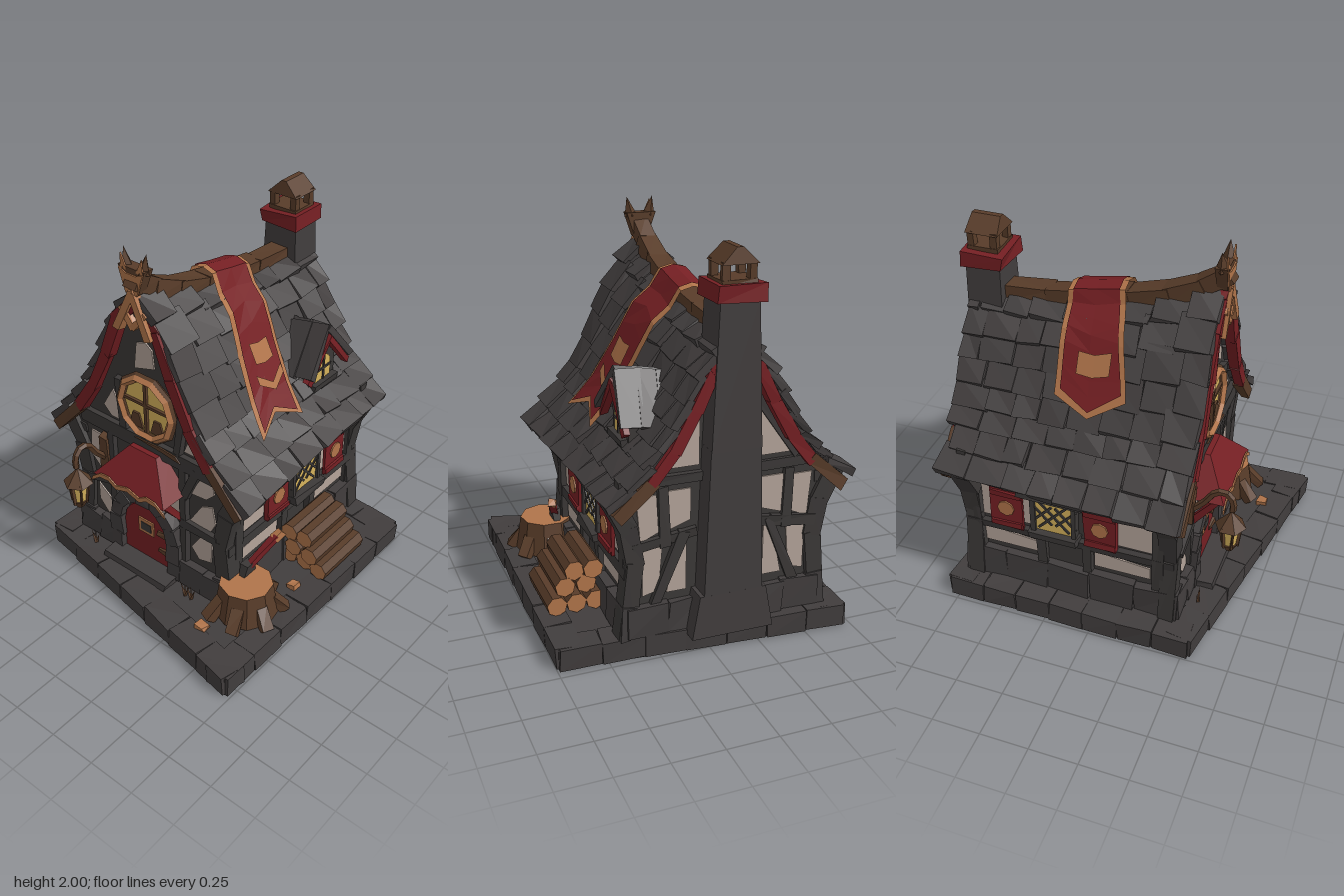
import * as THREE from 'three';
import { mergeGeometries } from 'three/addons/utils/BufferGeometryUtils.js';
const mat = (name, color, side = THREE.FrontSide) => Object.assign(new THREE.MeshStandardMaterial({ color, flatShading: true, side }), { name });
const M = {
  stone: mat('slate stone', 0x413d3d, THREE.DoubleSide), timber: mat('dark timber', 0x3b3837), plaster: mat('plaster', 0xb3a399),
  red: mat('red paint', 0x751f23, THREE.DoubleSide), copper: mat('copper', 0xb0744a, THREE.DoubleSide),
  brown: mat('brown wood', 0x583c29), glass: mat('warm glass', 0xd6b25c),
};
let seed = 7;
const rnd = () => (seed = (seed * 16807) % 2147483647) / 2147483647, jit = a => (rnd() - 0.5) * 2 * a;
const V = (x, y, z) => new THREE.Vector3(x, y, z), SIDES = [1, -1];
const CX = -0.09, FRONT = 0.4, BACK = -0.7;   // house axis, wall planes
function add(parent, name, geo, material, x = 0, y = 0, z = 0, roll = 0) {
  const m = new THREE.Mesh(geo, material);
  m.name = name; m.position.set(x, y, z); m.rotation.z = roll; parent.add(m);
  return m;
}
function warp(g, rule) {
  const p = g.attributes.position, v = V(0, 0, 0);
  for (let i = 0; i < p.count; i++) { rule(v.fromBufferAttribute(p, i)); p.setXYZ(i, v.x, v.y, v.z); }
  return g;
}
// box with slightly displaced corners
function rough(w, h, d, j = 0.008) {
  const off = Array.from({ length: 8 }, () => V(jit(j), jit(j), jit(j)));
  return warp(new THREE.BoxGeometry(w, h, d), v => v.add(off[(v.x > 0) + 2 * (v.y > 0) + 4 * (v.z > 0)]));
}
// tapered box standing on y = 0
const frustum = (w0, d0, w1, d1, h) => warp(new THREE.BoxGeometry(1, h, 1), v => v.y > 0 ? v.set(v.x * w1, h, v.z * d1) : v.set(v.x * w0, 0, v.z * d0));
// bar between two points in the parent's frame
function beam(parent, name, a, b, w, h, material) {
  const m = add(parent, name, rough(w, h, a.distanceTo(b) + 0.02, 0.005), material);
  m.position.copy(a).add(b).multiplyScalar(0.5);
  m.quaternion.setFromRotationMatrix(new THREE.Matrix4().lookAt(b, a, V(0, 1, 0)));
}
const plate = (pts, depth = 0.008) => new THREE.ExtrudeGeometry(new THREE.Shape(pts.map(p => new THREE.Vector2(...p))), { depth, bevelEnabled: false });
const rect = (x0, y0, x1, y1) => [[x0, y0], [x1, y0], [x1, y1], [x0, y1]];
const arch = (cx, y0, y1, r) => [[cx - r, y0], [cx + r, y0], ...Array.from({ length: 9 }, (_, i) => [cx + r * Math.cos(i * Math.PI / 8), y1 + r * Math.sin(i * Math.PI / 8)])];
// concave roof section: t = 0 ridge, t = 1 eave
const ridgeY = z => 1.56 + 0.24 * Math.pow(Math.max(0, (z + 0.8) / 1.28), 2.2);
const D = [0, 0.15, 0.24, 0.35, 0.46, 0.64], F = [1, 0.84, 0.61, 0.37, 0.2, 0];
function roofPoint(s, t, z, lift = 0) {
  const at = (a, q) => { const k = Math.min(4, Math.floor(q * 5)); return a[k] + (a[k + 1] - a[k]) * (q * 5 - k); };
  const h = ridgeY(z) - 0.81, w = 0.97 + 0.06 * z, q0 = Math.max(0, t - 0.04), q1 = Math.min(1, t + 0.04);
  const n = V(-h * (at(F, q1) - at(F, q0)), at(D, q1) - at(D, q0), 0).normalize();
  return V(CX + s * (at(D, t) * w + n.x * lift), 0.81 + h * at(F, t) + n.y * lift, z);
}
// grid surface from rows of points
function skin(rows) {
  const n = rows[0].length, idx = [], g = new THREE.BufferGeometry().setFromPoints(rows.flat());
  for (let a = 0; a < n * (rows.length - 1); a++) if (a % n < n - 1) idx.push(a, a + n, a + 1, a + 1, a + n, a + n + 1);
  g.setIndex(idx); g.computeVertexNormals();
  return g;
}
function buildBase(g) {
  const c = [[-0.73, 0.53], [0.72, 0.81], [0.74, -0.69], [-0.71, -0.79]];
  add(g, 'baseSlab', plate(c.map(([x, z]) => [x, -z]), 0.11).rotateX(-Math.PI / 2), M.stone);
  c.forEach(([x0, z0], k) => {
    const [x1, z1] = c[(k + 1) % 4], dx = x1 - x0, dz = z1 - z0, len = Math.hypot(dx, dz);
    for (let t = 1 / 14; t < 1; t += 1 / 7)
      add(g, 'baseStone', rough(len / 7 - 0.004, 0.112, 0.14, 0.005), M.stone, x0 + dx * t + dz / len * 0.055, 0.061, z0 + dz * t - dx / len * 0.055).rotation.y = Math.atan2(-dz, dx);
  });
}
function buildWalls(g) {
  const body = [[-0.48, 0.1], [0.48, 0.1], [0.48, 0.72], [0.55, 0.86], [-0.55, 0.86], [-0.48, 0.72]];
  add(g, 'wallBody', plate(body, FRONT - BACK), M.timber, CX, 0, BACK);
  for (const z of [FRONT - 0.06, BACK]) {
    const half = [0.95, 0.8, 0.6, 0.4, 0.2].map(t => roofPoint(1, t, z, -0.02)).map(p => [p.x, p.y]);
    add(g, 'gableWall', plate([...half, [CX, ridgeY(z) - 0.03], ...half.map(([x, y]) => [2 * CX - x, y]).reverse()], 0.06), M.timber, 0, 0, z);
  }
  // stone footing
  for (let i = 0; i < 5; i++) {
    for (const s of SIDES) add(g, 'footingStone', rough(0.1, 0.17, 0.232, 0.01), M.stone, CX + s * 0.48, 0.2, 0.32 - i * 0.235);
    add(g, 'footingStone', rough(0.2, 0.16, 0.08, 0.01), M.stone, CX - 0.4 + i * 0.2, 0.2, BACK);
  }
  for (const x of [-0.53, -0.38, 0.2, 0.34]) add(g, 'footingStone', rough(0.16, 0.15, 0.08, 0.01), M.stone, x, 0.19, FRONT + 0.005);
  // bowed corner posts
  for (const s of SIDES) for (const z of [FRONT - 0.02, BACK + 0.02]) {
    const p = [[0.5, 0.12], [0.46, 0.5], [0.49, 0.68], [0.58, 0.86]].map(([x, y]) => V(CX + s * x, y, z));
    for (let i = 0; i < 3; i++) beam(g, 'cornerPost', p[i], p[i + 1], 0.09, 0.09, M.timber);
  }
  // plaster fields and framing, front
  [
    [[-0.18, 1.32], [-0.05, 1.36], [-0.06, 1.46], [-0.1, 1.49], [-0.16, 1.47]], [[0.02, 1.32], [0.13, 1.24], [0.13, 1.31], [0.05, 1.39]],
    [[-0.41, 1.01], [-0.36, 0.96], [-0.26, 0.96], [-0.3, 1.05], [-0.34, 1.13]], [[0.13, 0.96], [0.26, 0.96], [0.31, 0.99], [0.22, 1.1], [0.18, 1.08]],
    [[-0.53, 0.64], [-0.47, 0.58], [-0.4, 0.7], [-0.41, 0.8], [-0.52, 0.8]], [[-0.49, 0.35], [-0.43, 0.28], [-0.36, 0.29], [-0.41, 0.4], [-0.49, 0.46]],
    [[-0.32, 0.54], [0.1, 0.54], [0.1, 0.66], [-0.32, 0.66]], [[0.17, 0.72], [0.27, 0.73], [0.32, 0.78], [0.31, 0.88], [0.26, 0.89]],
    [[0.16, 0.54], [0.3, 0.54], [0.33, 0.6], [0.31, 0.7], [0.24, 0.67]], [[0.17, 0.37], [0.22, 0.31], [0.3, 0.33], [0.31, 0.49], [0.24, 0.48]],
  ].forEach(p => add(g, 'plasterFront', plate(p), M.plaster, 0, 0, FRONT));
  [[-0.55, 0.9, 0.38, 0.9], [-0.53, 0.5, -0.36, 0.55], [0.13, 0.15, 0.13, 0.86], [0.13, 0.52, 0.34, 0.51], [0.14, 0.7, 0.22, 0.88], [-0.36, 0.3, -0.36, 0.86], [-0.26, 0.94, -0.28, 1.22], [0.1, 0.94, 0.14, 1.2]]
    .forEach(([a, b, c, d], i) => beam(g, 'frontTimber', V(a, b, FRONT + 0.01), V(c, d, FRONT + 0.01), 0.045, i ? 0.045 : 0.085, M.timber));
  add(g, 'bareWood', plate([[-0.17, 0.93], [0.02, 0.915], [0.13, 0.9], [0.1, 0.93], [0, 0.94]]), M.brown, 0, 0, FRONT + 0.033);
  // plaster fields and framing, back, mirrored about the chimney
  for (const s of SIDES) {
    [
      [[0.2, 0.32], [0.3, 0.32], [0.24, 0.6], [0.2, 0.62]], [[0.34, 0.34], [0.42, 0.32], [0.42, 0.55], [0.32, 0.58]], [[0.18, 0.68], [0.3, 0.64], [0.3, 0.84], [0.18, 0.84]],
      [[0.34, 0.64], [0.43, 0.6], [0.45, 0.83], [0.35, 0.83]], [[0.14, 0.95], [0.34, 0.95], [0.24, 1.12], [0.14, 1.22]],
    ].forEach(p => add(g, 'plasterBack', plate(p.map(([x, y]) => [CX + s * x, y])), M.plaster, 0, 0, BACK - 0.008));
    for (const [a, b, c, d] of [[0.1, 0.9, 0.53, 0.9], [0.16, 0.62, 0.46, 0.58], [0.22, 0.62, 0.36, 0.28], [0.32, 0.86, 0.31, 0.58], [0.12, 1.28, 0.36, 0.95]])
      beam(g, 'backTimber', V(CX + s * a, b, BACK), V(CX + s * c, d, BACK), 0.05, 0.05, M.timber);
  }
}
// one long wall; s picks the side, A maps world z to the local axis
function buildSide(g, s) {
  const A = z => -s * z, c = A(-0.225);
  g.rotation.y = s * Math.PI / 2; g.position.x = CX + s * 0.48;
  for (const [z0, y0, z1, y1] of [[0.3, 0.5, 0.1, 0.68], [-0.36, 0.5, -0.63, 0.77], [0.28, 0.32, -0.02, 0.42], [-0.33, 0.32, -0.63, 0.42]])
    add(g, 'plasterSide', plate([[A(z0), y0], [A(z1), y0], [A(z1), y1], [A(z0), y1 - 0.03]]), M.plaster);
  for (const [z0, y0, z1, y1, t] of [[0.4, 0.46, -0.7, 0.45, 0.05], [0.4, 0.79, -0.7, 0.8, 0.05], [0.33, 0.28, 0.33, 0.8, 0.06], [-0.05, 0.28, -0.05, 0.45, 0.05], [-0.3, 0.28, -0.3, 0.45, 0.05], [-0.65, 0.28, -0.66, 0.8, 0.05]])
    beam(g, 'sideTimber', V(A(z0), y0, 0.008), V(A(z1), y1, 0.008), t, t, M.timber);
  // lattice window between shutters with a plain disc
  add(g, 'windowGlass', rough(0.2, 0.22, 0.04, 0), M.glass, c, 0.61, 0.01);
  for (const k of SIDES) {
    const sx = c + k * 0.253;
    add(g, 'windowJamb', rough(0.025, 0.25, 0.05, 0.003), M.timber, c + k * 0.11, 0.61, 0.02);
    for (let i = -1; i <= 1; i++) add(g, 'lattice', rough(0.012, 0.24 - 0.08 * Math.abs(i), 0.01, 0), M.timber, c + i * 0.065, 0.61, 0.032, k * 0.75);
    add(g, 'shutter', rough(0.175, 0.24, 0.025, 0.006), M.red, sx, 0.605, 0.035);
    for (const y of [0.51, 0.7]) add(g, 'shutterBatten', rough(0.17, 0.03, 0.02, 0.004), M.red, sx, y, 0.045);
    add(g, 'shutterDisc', new THREE.CylinderGeometry(0.046, 0.046, 0.008, 8).rotateX(Math.PI / 2), M.copper, sx, 0.61, 0.051);
  }
  add(g, 'lintel', rough(0.35, 0.06, 0.1), M.timber, c, 0.765, 0.03); add(g, 'sill', rough(0.26, 0.04, 0.08), M.timber, c, 0.485, 0.03);
}
function buildRoof(g) {
  for (const s of SIDES) {
    add(g, 'roofDeck', skin([0.45, 0.25, 0.05, -0.2, -0.5, -0.79].map(z => [0, 0.2, 0.4, 0.6, 0.8, 1].map(t => roofPoint(s, t, z)))), M.stone);
    const tiles = [];
    for (let r = 0; r < 8; r++) for (let z = 0.475 + jit(0.01), w; z > -0.76; z -= w) {
      w = Math.min(0.12 + rnd() * 0.08, z + 0.81);
      const a = roofPoint(s, r / 8, z - w / 2, 0.006), b = roofPoint(s, Math.min(1, (r + 1.12) / 8), z - w / 2, 0.03 + jit(0.008));
      const X = b.clone().sub(a), len = X.length() + 0.015, Z = V(0, 0, s), Y = Z.clone().cross(X.normalize());
      tiles.push(rough(len, 0.036, w - 0.004, 0.009).applyMatrix4(new THREE.Matrix4().makeBasis(X, Y, Z).setPosition(a.add(b).multiplyScalar(0.5))));
    }
    add(g, 'roofTiles', mergeGeometries(tiles), M.stone);
    // rake boards, brown at the eaves
    for (const z of [0.46, -0.78]) for (let i = 0; i < 5; i++)
      beam(g, 'rakeBoard', roofPoint(s, i / 5, z, -0.035), roofPoint(s, (i + 1) / 5, z, -0.035), 0.05, 0.06, i < 4 ? M.red : M.brown);
    // banner halves: copper border below, red cloth above; notched on one side, pointed on the other
    const [tip, mid, df, db] = s > 0 ? [0.82, 0.72, 0.15, 0.1] : [0.49, 0.58, 0.1, 0.02];
    for (const [inset, lift, m] of [[0, 0.062, M.copper], [0.028, 0.07, M.red]])
      add(g, 'banner', skin([0, 0.03, 0.125, 0.25, 0.375, 0.5, 0.625, 0.75, 0.875, 1].map((k, i) => {
        const zf = df * k - inset, zb = -0.29 + db * k + inset;
        return [zf, (zf + zb) / 2, zb].map((z, j) => i > 1 ? roofPoint(s, k * (j === 1 ? mid : tip) - k * inset * 1.1, z, lift) : V(CX + s * i * 0.065, ridgeY(z) + 0.028 + lift - i * 0.018, z));
      })), m);
    const patch = (t0, t1, half, dip) => add(g, 'bannerPatch', skin([t0, t1].map(t => [-1, 0, 1].map(k => roofPoint(s, t + (k ? 0 : dip), -0.085 + k * half, 0.078)))), M.copper);
    if (s > 0) { patch(0.35, 0.455, 0.07, 0.01); patch(0.5, 0.545, 0.1, 0.06); } else patch(0.27, 0.38, 0.085, 0.015);
  }
  // sagging ridge beam
  const rp = [0.48, 0.36, 0.2, 0, -0.2, -0.4, -0.64].map((z, i) => V(CX, ridgeY(z) + [0.06, 0.03][i] || V(CX, 0.01).y + ridgeY(z), z));
  for (let i = 0; i < 6; i++) beam(g, 'ridgeBeam', rp[i], rp[i + 1], 0.08 + 0.03 * Math.min(1, i / 2), 0.085, M.brown);
  // eared finial and gable ornament
  add(g, 'finialHead', frustum(0.07, 0.05, 0.16, 0.06, 0.13), M.brown, CX, 1.79, 0.46);
  add(g, 'finialFace', plate([[-0.035, 0], [0.035, 0], [0.075, 0.12], [0.03, 0.1], [-0.03, 0.1], [-0.075, 0.12]]), M.copper, CX, 1.79, 0.488);
  for (const s of SIDES) {
    add(g, 'finialEar', new THREE.ConeGeometry(0.035, 0.1, 4), M.brown, CX + s * 0.06, 1.95, 0.46, -s * 0.2);
    add(g, 'finialEarFace', plate([[-0.02, -0.05], [0.02, -0.05], [0, 0.03]]), M.copper, CX + s * 0.058, 1.95, 0.482, -s * 0.2);
    beam(g, 'gableOrnament', V(CX, 1.8, 0.487), V(CX + s * 0.095, 1.59, 0.487), 0.04, 0.035, M.copper);
    beam(g, 'gableOrnament', V(CX, 1.62, 0.487), V(CX + s * 0.07, 1.7, 0.487), 0.03, 0.03, M.copper);
  }
}
function buildDormer(g) {
  g.position.set(0.34, 0, -0.445); g.rotation.y = Math.PI / 2;
  add(g, 'dormerBody', plate([[-0.11, 1], [0.11, 1], [0.11, 1.16], [0, 1.29], [-0.11, 1.16]], 0.28), M.timber, 0, 0, -0.28);
  add(g, 'dormerGlass', plate(arch(0, 1.05, 1.13, 0.065)), M.glass);
  for (const [w, h] of [[0.012, 0.14], [0.13, 0.012]]) add(g, 'dormerMullion', rough(w, h, 0.014, 0), M.timber, 0, 1.12, 0.008);
  add(g, 'dormerSill', rough(0.2, 0.035, 0.05, 0.004), M.timber, 0, 1.035, 0.01);
  for (const s of SIDES) {
    for (const z of [0, -0.1, -0.2]) add(g, 'dormerTile', rough(0.29, 0.035, 0.118, 0.009), M.stone, s * 0.09, 1.25 + 0.2 * z, z - 0.008, -s * 0.92).rotation.x = -0.15;
    beam(g, 'dormerTrim', V(0, 1.31, 0.03), V(s * 0.165, 1.11, 0.03), 0.035, 0.035, M.red);
  }
}
function buildChimney(g) {
  const z = -0.72;
  [['Foot', 0.42, 0.2, 0.34, 0.22, 0.1], ['Breast', 0.3, 0.19, 0.25, 0.75, 0.3], ['Stack', 0.25, 0.19, 0.19, 0.7, 1.04]]
    .forEach(([n, w0, d, w1, h, y]) => add(g, 'chimney' + n, frustum(w0, d, w1, d - 0.01, h), M.stone, CX, y, z));
  add(g, 'chimneyCollar', rough(0.235, 0.075, 0.22, 0.012), M.red, CX, 1.765, z);
  for (const x of SIDES) for (const k of SIDES) add(g, 'capPost', rough(0.035, 0.1, 0.035, 0.003), M.brown, CX + x * 0.065, 1.85, z + k * 0.06);
  add(g, 'capFoot', rough(0.17, 0.025, 0.16, 0.003), M.brown, CX, 1.81, z); add(g, 'capRoof', frustum(0.18, 0.17, 0.03, 0.15, 0.075), M.brown, CX, 1.89, z);
}
function buildFront(g) {
  // round gable window
  const wy = 1.13, dx = -0.12, ax = -0.1, lx = -0.4, lz = 0.635;
  add(g, 'roundGlass', new THREE.CylinderGeometry(0.16, 0.16, 0.03, 10).rotateX(Math.PI / 2), M.glass, CX, wy, FRONT + 0.01);
  add(g, 'roundFrame', new THREE.TorusGeometry(0.175, 0.026, 4, 10), M.brown, CX, wy, FRONT + 0.025);
  add(g, 'roundFrameFace', new THREE.TorusGeometry(0.168, 0.02, 4, 10), M.copper, CX, wy, FRONT + 0.04);
  for (const [w, h, y] of [[0.018, 0.3, 0], [0.3, 0.016, 0.02]]) add(g, 'windowMullion', rough(w, h, 0.02, 0), M.brown, CX, wy + y, FRONT + 0.03);
  for (const x of [-0.07, 0.07]) add(g, 'sillPot', frustum(0.09, 0.01, 0.04, 0.01, 0.08), M.brown, CX + x, wy - 0.13, FRONT + 0.03);
  // arched door
  add(g, 'door', plate(arch(dx, 0.14, 0.34, 0.16), 0.03), M.red, 0, 0, FRONT);
  for (let a = Math.PI / 14; a < Math.PI; a += Math.PI / 7)
    add(g, 'archStone', rough(0.075, 0.098, 0.1, 0.006), M.stone, dx + 0.195 * Math.cos(a), 0.36 + 0.195 * Math.sin(a), FRONT + 0.01, a);
  for (const s of SIDES) for (const y of [0.18, 0.3]) add(g, 'doorJamb', rough(0.08, 0.125, 0.1), M.stone, dx + s * 0.2, y, FRONT + 0.01);
  add(g, 'doorStep', rough(0.44, 0.06, 0.16), M.stone, dx, 0.125, 0.47);
  add(g, 'doorPlaque', plate(rect(dx - 0.055, 0.315, dx + 0.05, 0.405)), M.copper, 0, 0, FRONT + 0.03);
  add(g, 'doorPlaqueCentre', plate(rect(dx - 0.035, 0.335, dx + 0.035, 0.385)), M.timber, 0, 0, FRONT + 0.034);
  for (const y of [0.25, 0.37]) add(g, 'doorHinge', rough(0.08, 0.03, 0.02, 0.007), M.brown, dx + 0.12, y, FRONT + 0.035);
  // awning with a wavy hem
  add(g, 'awning', frustum(0.48, 0.34, 0.18, 0.1, 0.18), M.red, ax, 0.7, 0.41);
  const wave = [[-0.25, 0.655], [-0.19, 0.7], [-0.13, 0.705], [-0.08, 0.675], [0, 0.7], [0.08, 0.675], [0.13, 0.705], [0.19, 0.7], [0.25, 0.655]];
  add(g, 'awningHem', plate([...wave, ...wave.map(([x, y]) => [x * 0.98, y + 0.026]).reverse()]), M.copper, ax, 0, 0.578);
  for (const s of SIDES) beam(g, 'awningBrace', V(ax + s * 0.2, 0.53, 0.41), V(ax + s * 0.2, 0.69, 0.54), 0.035, 0.035, M.red);
  // hanging lantern
  const path = [[0.68, 0.42], [0.76, 0.5], [0.83, 0.55], [0.845, 0.6], [0.8, 0.64], [0.74, 0.64]].map(([y, z]) => V(lx, y, z));
  add(g, 'lanternBracket', new THREE.TubeGeometry(new THREE.CatmullRomCurve3(path), 10, 0.018, 5), M.brown);
  add(g, 'lanternPlate', rough(0.06, 0.2, 0.04), M.brown, lx, 0.72, 0.425);
  [['Glass', 0.05, 0.035, 0.12, 0.59, M.glass], ['Roof', 0, 0.08, 0.09, 0.69, M.brown], ['Foot', 0.045, 0.02, 0.045, 0.51, M.brown]]
    .forEach(([n, r1, r0, h, y, m]) => add(g, 'lantern' + n, new THREE.CylinderGeometry(r1, r0, h, 6), m, lx, y, lz));
  for (let a = 0; a < 6; a += Math.PI / 3)
    beam(g, 'lanternRib', V(lx + Math.sin(a) * 0.038, 0.53, lz + Math.cos(a) * 0.038), V(lx + Math.sin(a) * 0.053, 0.65, lz + Math.cos(a) * 0.053), 0.013, 0.013, M.brown);
}
function buildYard(g) {
  // chopping stump with roots and axe
  const sx = 0.5, sz = 0.37;
  add(g, 'stump', new THREE.CylinderGeometry(0.14, 0.17, 0.18, 9), [M.brown, M.copper, M.brown], sx, 0.21, sz);
  for (let a = 0.3; a < 6.2; a += Math.PI * 2 / 7)
    beam(g, 'root', V(sx + Math.cos(a) * 0.13, 0.21, sz + Math.sin(a) * 0.13), V(sx + Math.cos(a) * 0.19, 0.13, sz + Math.sin(a) * 0.21), 0.06, 0.05, M.brown);
  beam(g, 'axeHandle', V(0.47, 0.35, 0.3), V(0.52, 0.46, 0.16), 0.035, 0.035, M.red);
  beam(g, 'axeHandleEnd', V(0.52, 0.46, 0.16), V(0.53, 0.48, 0.13), 0.042, 0.042, M.copper);
  add(g, 'axeHead', frustum(0.03, 0.1, 0.05, 0.06, 0.08), M.timber, 0.465, 0.285, 0.315);
  // log pile, dry grass and scattered chips
  [[0.46, 0.165], [0.56, 0.165], [0.66, 0.165], [0.5, 0.25], [0.61, 0.25], [0.47, 0.335], [0.56, 0.33]].forEach(([x, y]) =>
    add(g, 'log', new THREE.CylinderGeometry(0.052, 0.052, 0.34 + jit(0.02), 7).rotateX(Math.PI / 2), [M.brown, M.copper, M.copper], x, y, -0.21 + jit(0.015)));
  for (const x of [0.24, 0.2, -0.45]) for (let i = -1; i <= 1; i++) add(g, 'grass', new THREE.ConeGeometry(0.01, 0.09, 3), M.brown, x + i * 0.015, 0.15, 0.5, -i * 0.35);
  for (const [x, z] of [[0.6, 0.09], [0.42, 0.62]]) add(g, 'woodChip', rough(0.05, 0.03, 0.05), M.copper, x, 0.125, z);
}
export function createModel() {
  const model = new THREE.Group();
  model.name = 'cottage';
  Object.entries({ base: [buildBase], walls: [buildWalls], leftWall: [buildSide, 1], rightWall: [buildSide, -1], roof: [buildRoof], dormer: [buildDormer], chimney: [buildChimney], entrance: [buildFront], yard: [buildYard] })
    .forEach(([name, [build, s]]) => { const g = new THREE.Group(); g.name = name; model.add(g); build(g, s); });
  return model;
}
